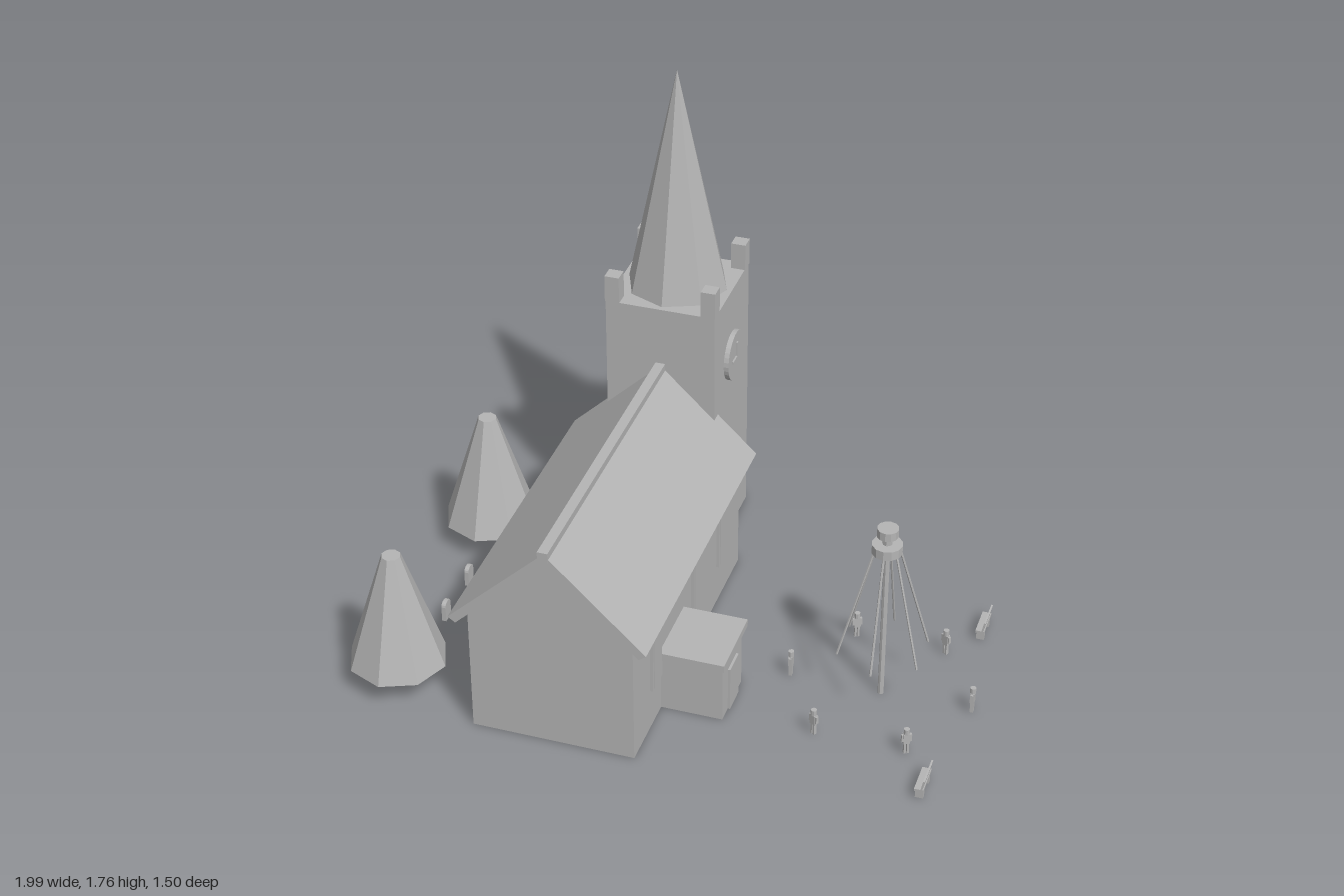
import * as THREE from 'three';

const stone = new THREE.MeshStandardMaterial({ color: 0xb4b4b4 });
stone.name = 'stone grey';

// Faceted mesh: every face keeps its own normal
function mesh(name, geometry, parent, x = 0, y = 0, z = 0) {
  const flat = geometry.index ? geometry.toNonIndexed() : geometry;
  flat.computeVertexNormals();
  const m = new THREE.Mesh(flat, stone);
  m.name = name;
  m.position.set(x, y, z);
  parent.add(m);
  return m;
}

// Box given by its extents on each axis
function box(name, parent, [x0, x1], [y0, y1], [z0, z1]) {
  return mesh(name, new THREE.BoxGeometry(x1 - x0, y1 - y0, z1 - z0), parent,
    (x0 + x1) / 2, (y0 + y1) / 2, (z0 + z1) / 2);
}

// Upright cylinder or cone standing at y0
function post(name, parent, rTop, rBottom, y0, y1, sides, x = 0, z = 0) {
  return mesh(name, new THREE.CylinderGeometry(rTop, rBottom, y1 - y0, sides), parent, x, (y0 + y1) / 2, z);
}

// Outline in x and y, pushed from z0 to z1
function prism(name, parent, points, z0, z1) {
  const shape = new THREE.Shape(points.map(([x, y]) => new THREE.Vector2(x, y)));
  return mesh(name, new THREE.ExtrudeGeometry(shape, { depth: z1 - z0, bevelEnabled: false }), parent, 0, 0, z0);
}

function group(name, parent, x = 0, z = 0) {
  const g = new THREE.Group();
  g.name = name;
  g.position.set(x, 0, z);
  parent.add(g);
  return g;
}

function buildNave(parent) {
  const g = group('nave', parent);
  prism('naveWalls', g, [[-0.52, 0], [0.025, 0], [0.025, 0.45], [-0.25, 0.715], [-0.52, 0.45]], -0.38, 0.72);
  prism('naveRoof', g, [[-0.577, 0.438], [-0.552, 0.42], [-0.25, 0.712], [0.052, 0.42], [0.077, 0.438], [-0.25, 0.752]], -0.41, 0.745);
  box('ridgeCap', g, [-0.267, -0.233], [0.725, 0.761], [-0.38, 0.75]);
  for (const z of [0.515, 0.1, -0.175]) {
    box('windowFrame', g, [0.02, 0.035], [0.147, 0.357], [z - 0.045, z + 0.045]);
    box('windowPane', g, [0.03, 0.038], [0.155, 0.349], [z - 0.037, z + 0.037]);
  }
}

function buildPorch(parent) {
  const g = group('porch', parent);
  box('porchWalls', g, [0.02, 0.232], [0, 0.21], [0.25, 0.455]);
  box('porchRoof', g, [0.02, 0.243], [0.21, 0.235], [0.22, 0.475]);
  box('porchDoor', g, [0.231, 0.24], [0, 0.16], [0.307, 0.397]);
}

function buildTower(parent) {
  const g = group('tower', parent, -0.25, -0.56);
  box('towerWalls', g, [-0.19, 0.19], [0, 0.97], [-0.19, 0.19]);
  for (const x of [-1, 1]) for (const z of [-1, 1]) {
    mesh('pinnacle', new THREE.BoxGeometry(0.05, 0.095, 0.05), g, x * 0.167, 1.0175, z * 0.167);
  }
  post('spire', g, 0, 0.172, 0.97, 1.76, 8);
  box('towerDoor', g, [0.185, 0.196], [0, 0.21], [-0.055, 0.055]);
  // Clock on the right-hand wall
  const face = mesh('clockFace', new THREE.CylinderGeometry(0.088, 0.088, 0.02, 32), g, 0.197, 0.72, 0);
  face.rotation.z = Math.PI / 2;
  box('minuteHand', g, [0.206, 0.213], [0.71, 0.772], [-0.005, 0.005]);
  box('hourHand', g, [0.206, 0.213], [0.71, 0.72], [-0.005, 0.048]);
}

function buildTree(parent, x, z) {
  const g = group('tree', parent, x, z);
  post('trunk', g, 0.025, 0.025, 0, 0.1, 8);
  post('foliage', g, 0.032, 0.165, 0.09, 0.5, 8);
}

function buildGravestone(parent, x, z) {
  // Slab with a rounded head, thin along x
  const shape = new THREE.Shape();
  shape.moveTo(-0.022, 0);
  shape.lineTo(0.022, 0);
  shape.lineTo(0.022, 0.055);
  shape.quadraticCurveTo(0.02, 0.072, 0, 0.072);
  shape.quadraticCurveTo(-0.02, 0.072, -0.022, 0.055);
  const slab = mesh('gravestone', new THREE.ExtrudeGeometry(shape,
    { depth: 0.015, bevelEnabled: false, curveSegments: 4 }), parent, x - 0.0075, 0, z);
  slab.rotation.y = Math.PI / 2;
}

function buildMaypole(parent) {
  const g = group('maypole', parent, 0.68, 0.165);
  post('pole', g, 0.01, 0.01, 0, 0.63, 8);
  post('lowerCrown', g, 0.05, 0.05, 0.568, 0.6, 12);
  post('crownNeck', g, 0.016, 0.016, 0.6, 0.63, 8);
  post('upperCrown', g, 0.035, 0.035, 0.63, 0.66, 12);
  for (let i = 0; i < 6; i++) {
    // Ribbons splay out between the dancers
    const a = (i + 0.5) * Math.PI / 3;
    const at = (r, y) => new THREE.Vector3(r * Math.cos(a), y, r * Math.sin(a));
    const path = new THREE.LineCurve3(at(0.042, 0.575), at(0.152, 0.185));
    mesh('ribbon', new THREE.TubeGeometry(path, 1, 0.004, 6), g);
    // Dancers face the pole
    const b = i * Math.PI / 3;
    const d = group('dancer', g, 0.304 * Math.cos(b), 0.304 * Math.sin(b));
    d.rotation.y = -b;
    for (const s of [-1, 1]) {
      mesh('leg', new THREE.BoxGeometry(0.011, 0.042, 0.007), d, 0, 0.021, s * 0.005);
      mesh('arm', new THREE.BoxGeometry(0.01, 0.026, 0.006), d, 0, 0.061, s * 0.014);
    }
    mesh('torso', new THREE.BoxGeometry(0.014, 0.037, 0.022), d, 0, 0.058, 0);
    post('head', d, 0.01, 0.01, 0.076, 0.096, 8);
  }
}

function buildBench(parent, z) {
  const g = group('bench', parent, 0.925, z);
  box('benchSeat', g, [-0.016, 0.014], [0.033, 0.041], [-0.054, 0.054]);
  const back = mesh('benchBack', new THREE.BoxGeometry(0.006, 0.037, 0.108), g, 0.011, 0.058, 0);
  back.rotation.z = -0.2;
  for (const s of [-1, 1]) {
    mesh('benchLeg', new THREE.BoxGeometry(0.026, 0.034, 0.016), g, -0.001, 0.017, s * 0.036);
  }
}

export function createModel() {
  const model = new THREE.Group();
  model.name = 'villageChurch';
  buildNave(model);
  buildPorch(model);
  buildTower(model);
  for (const z of [-0.25, 0.58]) buildTree(model, -0.835, z);
  for (const x of [-0.813, -0.66]) for (const z of [0.027, 0.232]) buildGravestone(model, x, z);
  buildMaypole(model);
  for (const z of [-0.25, 0.58]) buildBench(model, z);
  return model;
}
